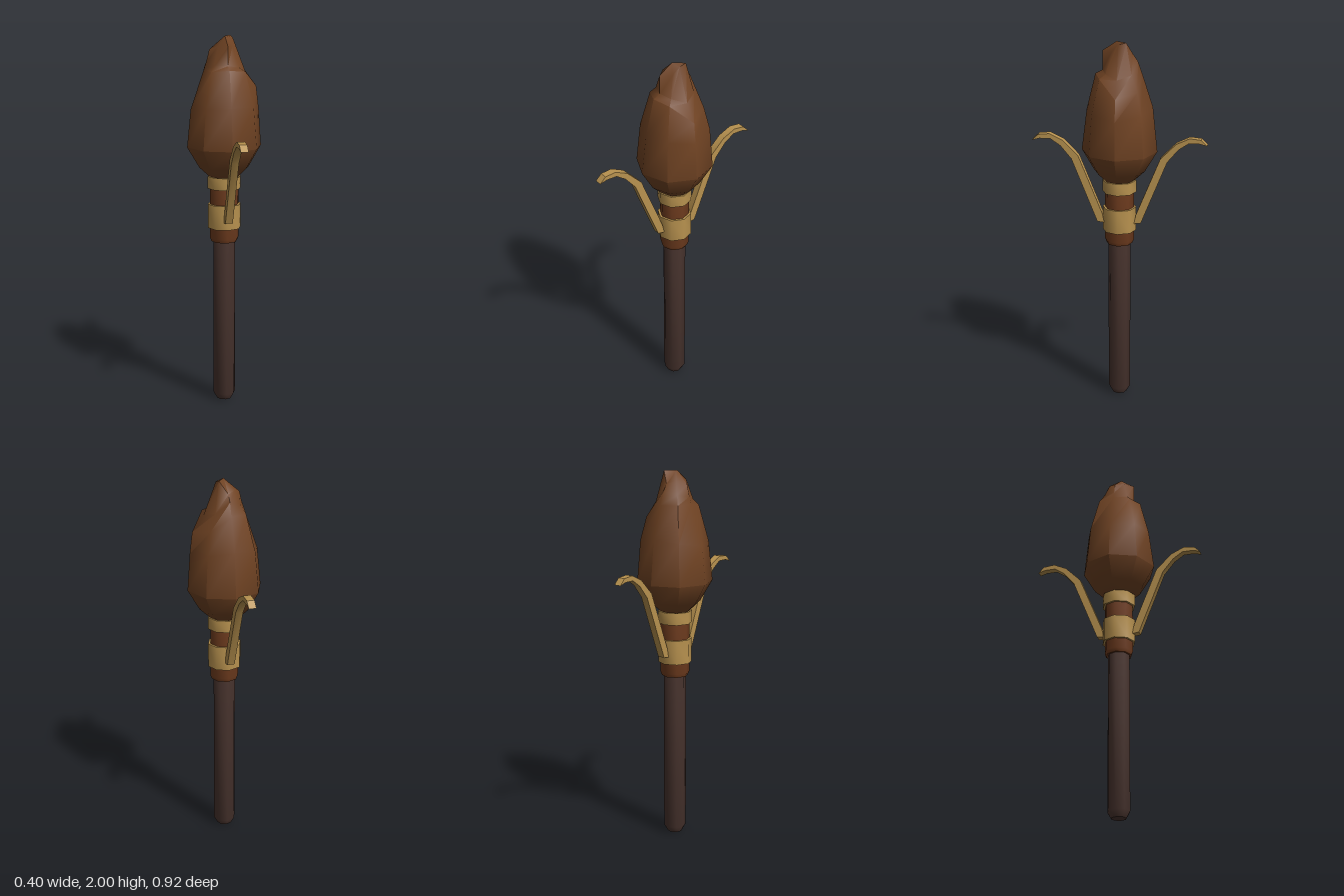
import * as THREE from 'three';
import { toCreasedNormals } from 'three/addons/utils/BufferGeometryUtils.js';

const SIDES = 8;

function material(name, color) {
  const m = new THREE.MeshStandardMaterial({ color });
  m.name = name;
  return m;
}

// Eight-sided turned part from [radius, height] pairs, bottom to top
function turned(name, profile, mat, crease = 0.9) {
  const points = profile.map(([r, y]) => new THREE.Vector2(r, y));
  const mesh = new THREE.Mesh(toCreasedNormals(new THREE.LatheGeometry(points, SIDES), crease), mat);
  mesh.name = name;
  return mesh;
}

// Closed band wrapped around the shaft
function band(name, bottom, top, mat) {
  return turned(name, [[0, bottom], [0.09, bottom], [0.09, top], [0, top]], mat);
}

// Bulbous head: even rings below, ragged rings above, closed by an apex
function headGeometry() {
  const even = (r, y) => Array.from({ length: SIDES }, () => [r, y]);
  // Columns start at the front and go round through the model's left
  const rings = [
    even(0.07, 1.25),
    even(0.135, 1.31),
    even(0.2, 1.42),
    [[0.172, 1.64], [0.18, 1.64], [0.186, 1.62], [0.182, 1.64], [0.175, 1.66], [0.178, 1.64], [0.18, 1.62], [0.178, 1.63]],
    [[0.125, 1.83], [0.13, 1.82], [0.172, 1.735], [0.15, 1.76], [0.12, 1.83], [0.125, 1.83], [0.108, 1.83], [0.125, 1.82]],
    [[0.088, 1.85], [0.09, 1.84], [0.11, 1.82], [0.1, 1.84], [0.095, 1.9], [0.09, 1.88], [0.095, 1.87], [0.095, 1.85]],
    [[0.088, 1.95], [0.05, 1.95], [0.045, 1.99], [0.057, 2.0], [0.07, 1.935], [0.06, 1.95], [0.08, 1.93], [0.06, 1.95]],
  ];
  const positions = [];
  for (const ring of rings) {
    ring.forEach(([r, y], k) => {
      const a = (k / SIDES) * Math.PI * 2;
      positions.push(r * Math.sin(a), y, r * Math.cos(a));
    });
  }
  positions.push(0, 2.0, 0.015);
  const apex = rings.length * SIDES;
  const index = [];
  for (let k = 0; k < SIDES; k++) {
    const n = (k + 1) % SIDES;
    for (let i = 0; i < rings.length - 1; i++) {
      const a = i * SIDES + k, b = i * SIDES + n;
      index.push(a, b, b + SIDES, a, b + SIDES, a + SIDES);
    }
    index.push(apex - SIDES + k, apex - SIDES + n, apex);
  }
  const g = new THREE.BufferGeometry();
  g.setAttribute('position', new THREE.Float32BufferAttribute(positions, 3));
  g.setIndex(index);
  return toCreasedNormals(g, 0.9);
}

// Curling strap: side outline given as [outward, height], extruded across its width
function strapGeometry() {
  const outline = [
    [0.08, 1.02], [0.117, 1.025], [0.254, 1.37], [0.312, 1.44], [0.365, 1.476], [0.423, 1.476],
    [0.462, 1.465], [0.43, 1.497], [0.37, 1.503], [0.3, 1.47], [0.217, 1.386], [0.09, 1.07],
  ];
  const shape = new THREE.Shape(outline.map(([z, y]) => new THREE.Vector2(z, y)));
  const g = new THREE.ExtrudeGeometry(shape, { depth: 0.04, bevelEnabled: false });
  g.translate(0, 0, -0.02);
  g.rotateY(-Math.PI / 2);
  return toCreasedNormals(g, 0.6);
}

export function createModel() {
  const darkWood = material('dark wood', 0x4a352f);
  const collarBrown = material('collar brown', 0x713d1f);
  const headBrown = material('head brown', 0x704323);
  const gold = material('gold', 0xb8924f);

  const model = new THREE.Group();
  model.name = 'torch';

  // Shaft and collar
  model.add(turned('handle', [[0, 0.005], [0.04, 0.01], [0.06, 0.045], [0.06, 0.95]], darkWood));
  model.add(turned('collar', [[0.05, 0.905], [0.07, 0.905], [0.078, 0.925], [0.078, 1.27], [0, 1.27]], collarBrown));

  // Metal bands
  model.add(band('lowerBand', 0.98, 1.11, gold));
  model.add(band('upperBand', 1.195, 1.26, gold));

  // Head
  const head = new THREE.Mesh(headGeometry(), headBrown);
  head.name = 'head';
  model.add(head);

  // Front and back straps
  const strap = strapGeometry();
  ['frontStrap', 'backStrap'].forEach((name, i) => {
    const mesh = new THREE.Mesh(strap, gold);
    mesh.name = name;
    mesh.rotation.y = i * Math.PI;
    model.add(mesh);
  });

  return model;
}
